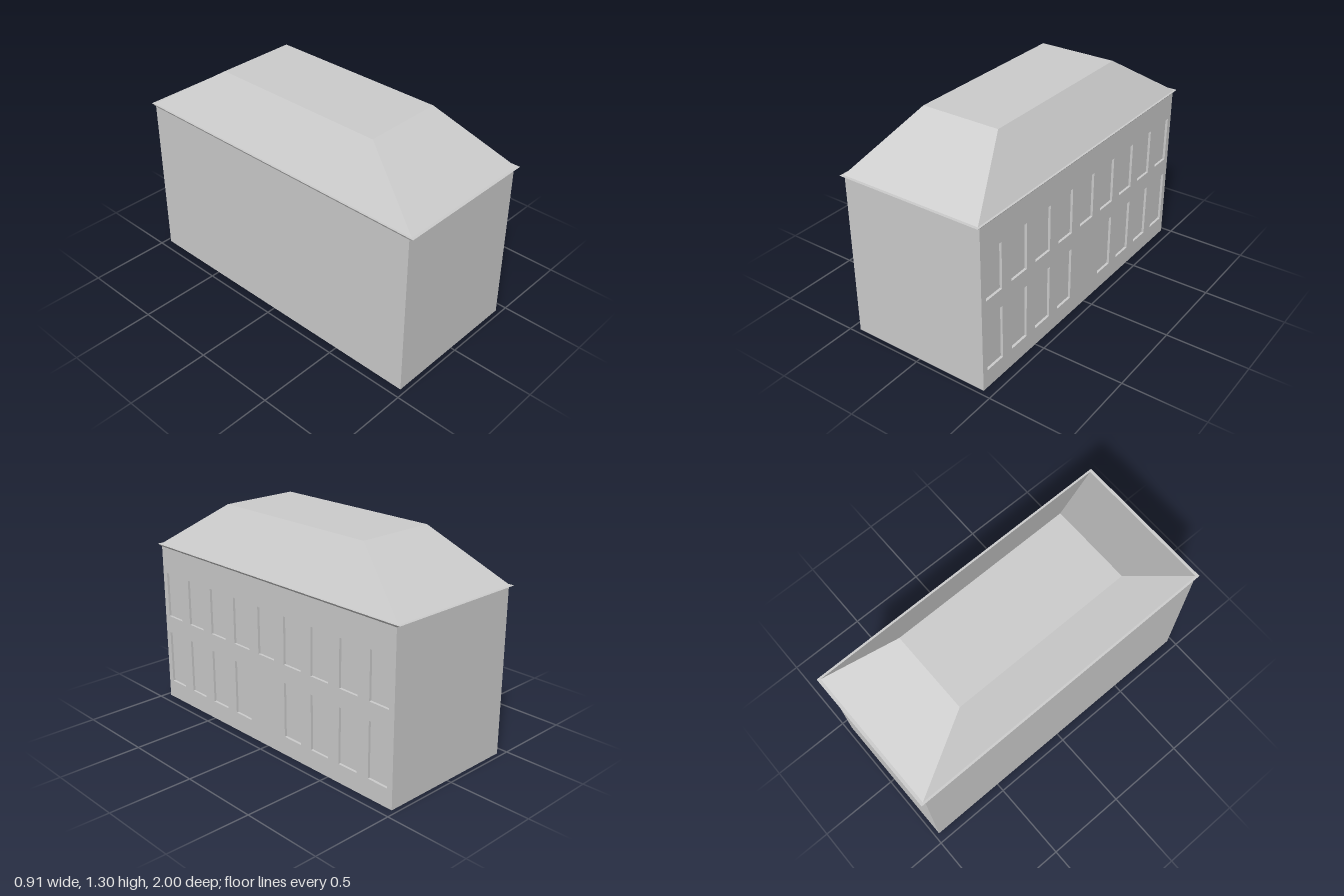
import * as THREE from 'three';

const material = new THREE.MeshStandardMaterial({ color: 0xcccccc, flatShading: true });

function addPart(group, name, geometry) {
  const mesh = new THREE.Mesh(geometry, material);
  mesh.name = name;
  group.add(mesh);
  return mesh;
}

// Box whose bottom and top rectangles differ: [xMin, xMax, zHalf] at y0 and y1
function taperedBox(bottom, top, y0, y1) {
  const geometry = new THREE.BoxGeometry(1, 1, 1);
  const p = geometry.attributes.position;
  for (let i = 0; i < p.count; i++) {
    const upper = p.getY(i) > 0;
    const [xMin, xMax, zHalf] = upper ? top : bottom;
    p.setXYZ(i, p.getX(i) > 0 ? xMax : xMin, upper ? y1 : y0, Math.sign(p.getZ(i)) * zHalf);
  }
  geometry.computeVertexNormals();
  return geometry;
}

function rectangle(target, x0, x1, y0, y1) {
  target.moveTo(x0, y0);
  target.lineTo(x1, y0);
  target.lineTo(x1, y1);
  target.lineTo(x0, y1);
  target.closePath();
  return target;
}

export function createModel() {
  const group = new THREE.Group();
  group.name = 'house';

  const wallLeft = 0.441, wallRight = -0.446, wallZ = 0.972;
  const recess = 0.015;

  // Main block; its +x face forms the backs of the window recesses
  const inner = [wallRight, wallLeft - recess, wallZ];
  addPart(group, 'walls', taperedBox(inner, inner, 0, 1));

  // Facade layer with two rows of windows, none in the middle of the ground floor
  const facade = rectangle(new THREE.Shape(), -wallZ, wallZ, 0, 1);
  const halfWidth = 0.068, spacing = 0.217;
  for (let i = -4; i <= 4; i++) {
    const z = i * spacing;
    facade.holes.push(rectangle(new THREE.Path(), z - halfWidth, z + halfWidth, 0.555, 0.838));
    if (i !== 0) {
      facade.holes.push(rectangle(new THREE.Path(), z - halfWidth, z + halfWidth, 0.113, 0.447));
    }
  }
  const facadeGeometry = new THREE.ExtrudeGeometry(facade, { depth: recess, bevelEnabled: false });
  facadeGeometry.rotateY(Math.PI / 2);
  addPart(group, 'windowFacade', facadeGeometry).position.x = wallLeft - recess;

  // Flared eave and hipped roof with a flat top
  addPart(group, 'eave', taperedBox([wallRight, wallLeft, wallZ], [-0.454, 0.453, 1], 1, 1.014));
  addPart(group, 'roof', taperedBox([-0.441, 0.44, 0.982], [-0.246, 0.244, 0.555], 1.014, 1.303));

  return group;
}
